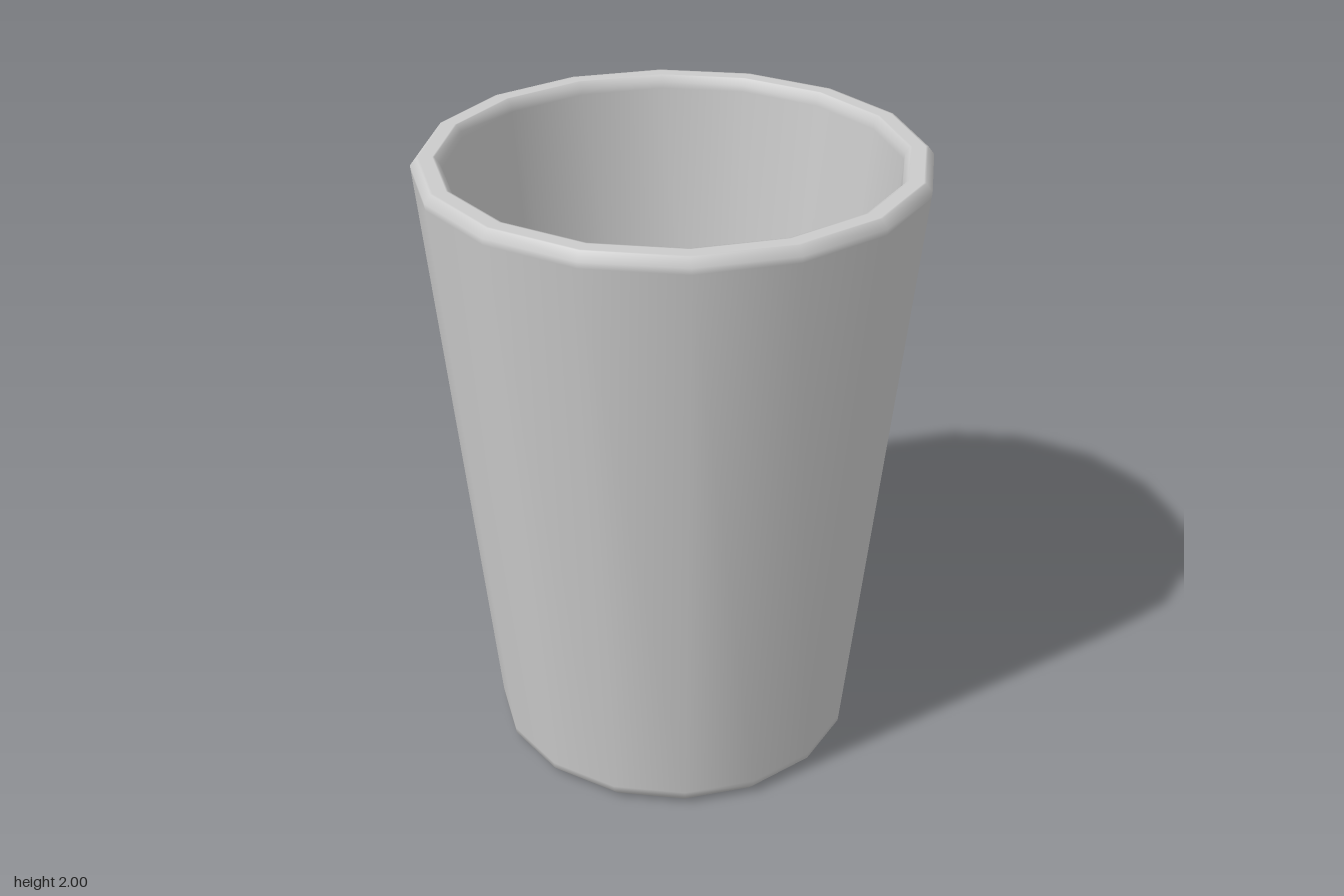
import * as THREE from 'three';

const SIDES = 16;

export function createModel() {
  const group = new THREE.Group();
  group.name = 'cup';

  // Half-section measured to the flats: [distance from axis, height].
  // Paired points beside each small chamfer keep the caps and walls evenly shaded.
  const section = [
    [0, 0], [0.54, 0], [0.55, 0],                  // underside
    [0.578, 0.03], [0.58, 0.05],                   // foot chamfer
    [0.762, 1.955], [0.764, 1.975],                // outer wall
    [0.745, 2], [0.738, 2], [0.698, 2], [0.692, 2], // rim
    [0.678, 1.98], [0.676, 1.96],                  // inner lip
    [0.507, 0.125], [0.505, 0.105],                // inner wall
    [0.492, 0.09], [0.485, 0.09], [0, 0.09],       // floor
  ];

  // Scale to the corner radius and turn so that flats face the axes
  const toCorner = 1 / Math.cos(Math.PI / SIDES);
  const points = section.map(([r, y]) => new THREE.Vector2(r * toCorner, y));
  const cup = new THREE.Mesh(
    new THREE.LatheGeometry(points, SIDES, Math.PI / SIDES),
    new THREE.MeshStandardMaterial({ color: 0xcccccc })
  );
  cup.name = 'cupBody';
  group.add(cup);
  return group;
}
